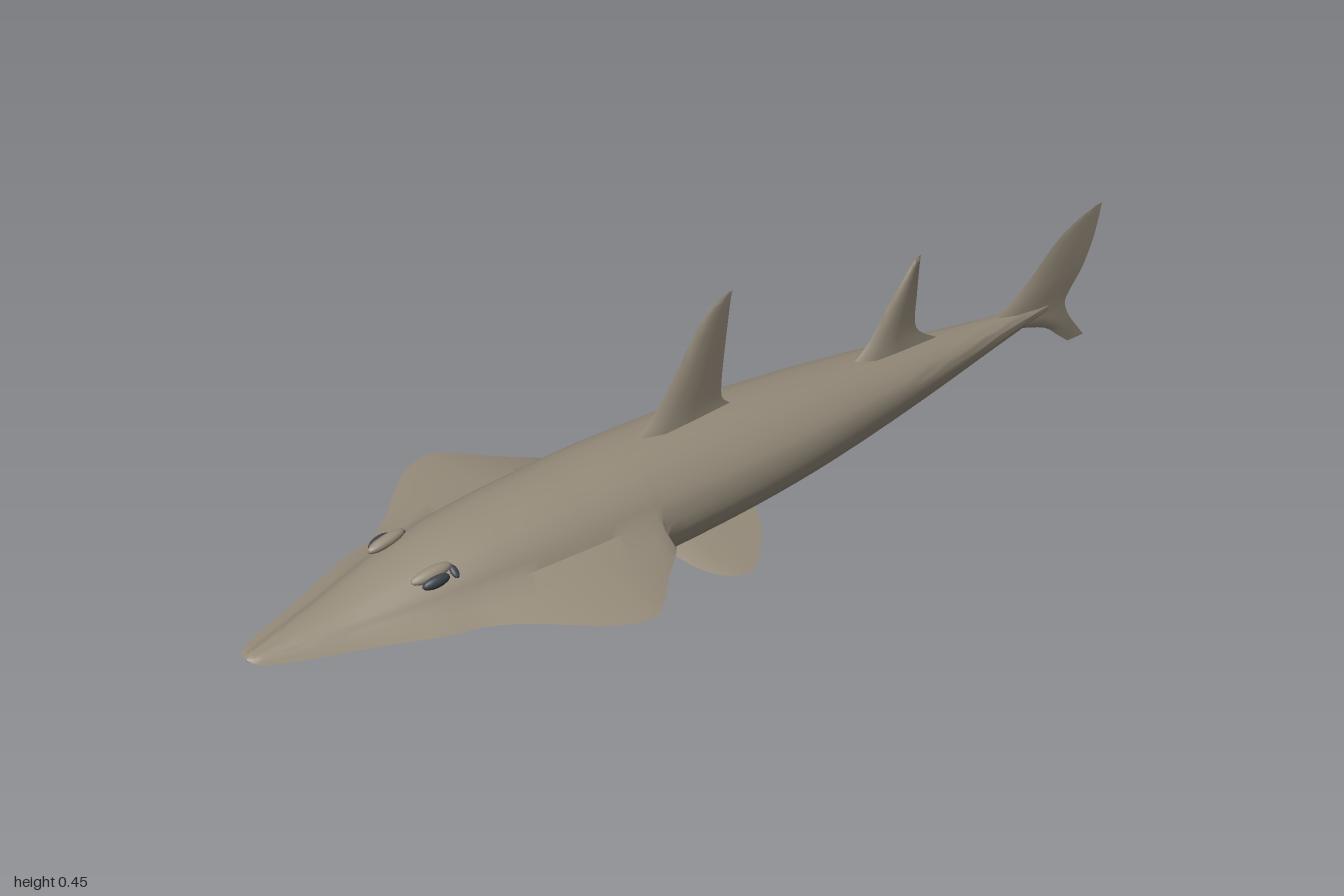
import * as THREE from 'three';
import { toCreasedNormals } from 'three/addons/utils/BufferGeometryUtils.js';

const hide = new THREE.MeshStandardMaterial({ color: 0x968c7b });
hide.name = 'greyBrownSkin';
const dark = new THREE.MeshStandardMaterial({ color: 0x3c434a });
dark.name = 'darkEye';

// slight sideways sweep of the whole spine toward the tail
const bend = (x) => (x < -0.3 ? 0 : -0.021 * (x + 0.3));

// skins a list of closed rings, all with the same number of points
function loft(rings, crease) {
  const n = rings[0].length, pos = [], index = [];
  for (const ring of rings) for (const [x, y, z] of ring) pos.push(x, y, z + bend(x));
  for (let i = 0; i < rings.length - 1; i++) {
    for (let j = 0; j < n; j++) {
      const a = i * n + j, c = i * n + (j + 1) % n;
      index.push(a, c, a + n, c, c + n, a + n);
    }
  }
  const g = new THREE.BufferGeometry();
  g.setAttribute('position', new THREE.Float32BufferAttribute(pos, 3));
  g.setIndex(index);
  return toCreasedNormals(g, crease);
}

// smooths a list of [p, q, r] rows
function smooth(rows, steps) {
  const curve = new THREE.CatmullRomCurve3(rows.map((r) => new THREE.Vector3(...r)), false, 'catmullrom', 0.5);
  return curve.getPoints((rows.length - 1) * steps);
}

// x, core half width, half width including the pectoral disc
const plan = [
  [-1, 0.003, 0.006], [-0.985, 0.016, 0.033], [-0.95, 0.026, 0.05], [-0.88, 0.045, 0.077], [-0.8, 0.065, 0.104],
  [-0.72, 0.088, 0.135], [-0.65, 0.105, 0.163], [-0.58, 0.118, 0.18], [-0.51, 0.128, 0.222], [-0.44, 0.134, 0.283],
  [-0.38, 0.137, 0.327], [-0.32, 0.139, 0.342], [-0.28, 0.14, 0.32], [-0.22, 0.141, 0.257], [-0.17, 0.141, 0.212],
  [-0.145, 0.141, 0.185], [-0.135, 0.14, 0.146], [-0.05, 0.138, 0.139], [0.1, 0.13, 0.13], [0.25, 0.115, 0.115],
  [0.4, 0.092, 0.092], [0.55, 0.066, 0.066], [0.7, 0.037, 0.037], [0.8, 0.018, 0.018], [0.87, 0.006, 0.006],
];
// x, back height, belly height at the same stations
const side = [
  [-1, 0.105, 0.098], [-0.985, 0.109, 0.096], [-0.95, 0.115, 0.091], [-0.88, 0.127, 0.083], [-0.8, 0.142, 0.074],
  [-0.72, 0.161, 0.064], [-0.65, 0.178, 0.057], [-0.58, 0.193, 0.052], [-0.51, 0.204, 0.047], [-0.44, 0.211, 0.043],
  [-0.38, 0.216, 0.04], [-0.32, 0.219, 0.038], [-0.28, 0.22, 0.037], [-0.22, 0.222, 0.036], [-0.17, 0.223, 0.035],
  [-0.145, 0.223, 0.035], [-0.135, 0.223, 0.036], [-0.05, 0.221, 0.038], [0.1, 0.213, 0.043], [0.25, 0.2, 0.05],
  [0.4, 0.183, 0.06], [0.55, 0.163, 0.074], [0.7, 0.143, 0.09], [0.8, 0.132, 0.101], [0.87, 0.121, 0.11],
];

function bodyGeometry() {
  const sides = smooth(side, 3);
  const rings = smooth(plan, 3).map((p, i) => {
    const x = p.x, w = p.y, f = Math.max(p.z, w), top = sides[i].y, low = sides[i].z;
    // the edge line sits at disc height in front and drifts to mid-height aft
    const aft = THREE.MathUtils.smoothstep(x, -0.1, 0.8);
    const edge = THREE.MathUtils.lerp(0.101, (top + low) / 2, aft);
    const mid = 0.96 * w + 0.4 * (f - 0.96 * w);
    const half = [
      [0, 1], [0.3 * w, 0.96], [0.55 * w, 0.85], [0.76 * w, 0.66], [0.88 * w, 0.49], [0.96 * w, 0.32], [mid, 0.15],
      [f, 0], [mid, -0.2], [0.95 * w, -0.45], [0.88 * w, -0.78], [0.76 * w, -0.95], [0.4 * w, -0.99], [0, -1],
    ].map(([z, v]) => [x, edge + v * (v > 0 ? top - edge : edge - low), z]);
    const mirror = half.slice(1, -1).reverse().map(([a, y, z]) => [a, y, -z]);
    return [...half, ...mirror];
  });
  return loft(rings, 0.75);
}

// fin from rows of [span, leading x, trailing x]; thick(span fraction) is the half thickness
const foil = [[0, 0], [0.08, 0.5], [0.28, 1], [0.6, 0.65], [1, 0], [0.6, -0.65], [0.28, -1], [0.08, -0.5]];
function fin(rows, thick, place) {
  const pts = smooth(rows, 3);
  const rings = pts.map((p, i) => {
    const t = thick(i / (pts.length - 1));
    return foil.map(([k, h]) => place(p.y + k * (p.z - p.y), p.x, h * t));
  });
  return loft(rings, 0.8);
}

export function createModel() {
  const model = new THREE.Group();
  const add = (name, geometry, material = hide) => {
    const mesh = new THREE.Mesh(geometry, material);
    mesh.name = name;
    model.add(mesh);
    return mesh;
  };
  const upright = (x, s, t) => [x, s, t];

  add('body', bodyGeometry());

  // two dorsal fins with flared feet
  add('frontDorsalFin', fin([
    [0.195, -0.13, 0.15], [0.225, -0.09, 0.11], [0.26, -0.05, 0.105], [0.335, 0.003, 0.113],
    [0.41, 0.053, 0.123], [0.443, 0.09, 0.128], [0.455, 0.122, 0.131],
  ], (u) => 0.02 * (1 - u) ** 1.2, upright));
  add('rearDorsalFin', fin([
    [0.155, 0.38, 0.61], [0.185, 0.425, 0.57], [0.215, 0.457, 0.56], [0.27, 0.497, 0.565],
    [0.32, 0.537, 0.57], [0.342, 0.558, 0.573], [0.35, 0.568, 0.574],
  ], (u) => 0.018 * (1 - u) ** 1.2, upright));

  // tail fin, thickest where the spine runs into it
  add('tailFin', fin([
    [0.02, 0.918, 0.955], [0.045, 0.892, 0.939], [0.07, 0.865, 0.924], [0.092, 0.81, 0.915], [0.112, 0.74, 0.913],
    [0.135, 0.75, 0.928], [0.16, 0.79, 0.948], [0.185, 0.825, 0.963], [0.22, 0.862, 0.979],
    [0.25, 0.897, 0.989], [0.275, 0.943, 0.996], [0.29, 0.99, 1],
  ], (u) => (u < 0.36 ? 0.011 * u / 0.36 : 0.011 * ((1 - u) / 0.64) ** 1.3), upright));

  // pelvic fins slope outward and down
  const pelvic = [
    [0.08, -0.12, 0.105], [0.11, -0.112, 0.1], [0.14, -0.1, 0.088], [0.165, -0.087, 0.07],
    [0.19, -0.068, 0.048], [0.21, -0.042, 0.027], [0.221, -0.012, 0.006],
  ];
  for (const s of [1, -1]) {
    const label = s > 0 ? 'front' : 'back';
    add(label + 'PelvicFin', fin(pelvic, (u) => 0.011 * (1 - u),
      (x, span, t) => [x, 0.053 - 0.35 * (span - 0.085) - s * t, s * span]));

    // eye set under a low brow ridge
    const eye = add(label + 'Eye', new THREE.SphereGeometry(1, 16, 10), dark);
    eye.scale.set(0.03, 0.014, 0.012);
    eye.position.set(-0.625, 0.167, s * 0.083);
    eye.rotation.set(s * 0.6, 0, 0.12);
    const brow = add(label + 'Brow', new THREE.SphereGeometry(1, 16, 10));
    brow.scale.set(0.045, 0.012, 0.014);
    brow.position.set(-0.625, 0.177, s * 0.068);
    brow.rotation.set(s * 0.4, 0, 0.15);
    const spiracle = add(label + 'Spiracle', new THREE.SphereGeometry(1, 12, 8), dark);
    spiracle.scale.set(0.008, 0.006, 0.015);
    spiracle.position.set(-0.582, 0.172, s * 0.082);
    spiracle.rotation.x = s * 0.6;
  }
  return model;
}
